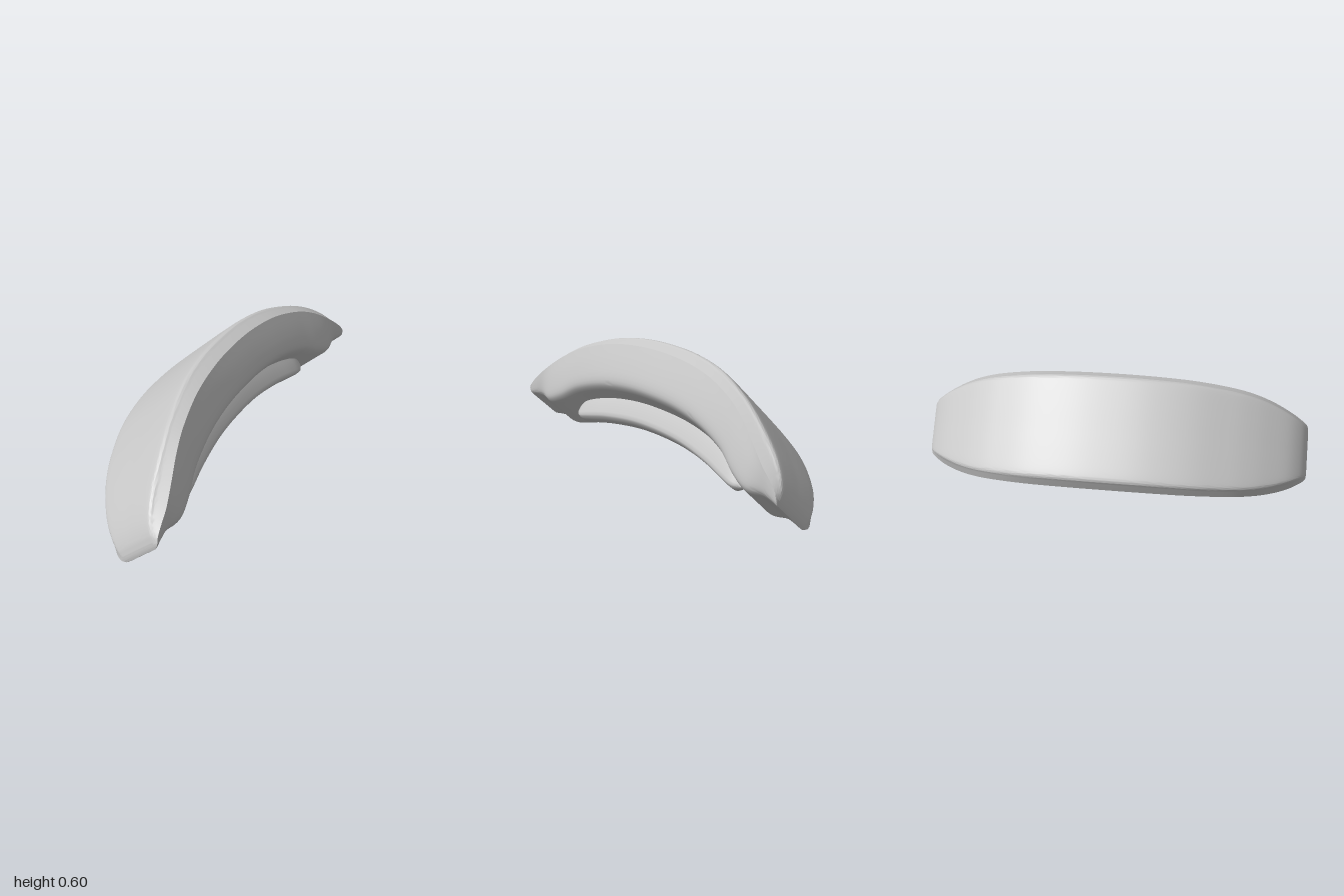
import * as THREE from 'three';
import { toCreasedNormals } from 'three/addons/utils/BufferGeometryUtils.js';

const V = (x, y) => new THREE.Vector2(x, y);
const lerp = THREE.MathUtils.lerp;

// Skin a list of rings { z, pts } (clockwise seen from +z) and close both ends.
function loft(rings) {
  const n = rings[0].pts.length;
  const pos = [];
  const index = [];
  rings.forEach(({ z, pts }) => pts.forEach((p) => pos.push(p.x, p.y, z)));
  for (let i = 0; i < rings.length - 1; i++) {
    for (let j = 0; j < n; j++) {
      const k = (j + 1) % n;
      const a = i * n + j, b = i * n + k, c = a + n, d = b + n;
      index.push(a, c, b, b, c, d);
    }
  }
  [0, rings.length - 1].forEach((r) => {
    const { z, pts } = rings[r];
    const centre = pos.length / 3;
    const mid = pts.reduce((s, p) => s.add(p), V(0, 0)).divideScalar(n);
    pos.push(mid.x, mid.y, z);
    for (let j = 0; j < n; j++) {
      const a = r * n + j, b = r * n + ((j + 1) % n);
      if (r === 0) index.push(centre, a, b);
      else index.push(centre, b, a);
    }
  });
  const geo = new THREE.BufferGeometry();
  geo.setAttribute('position', new THREE.Float32BufferAttribute(pos, 3));
  geo.setIndex(index);
  return toCreasedNormals(geo, 0.62);
}

// Mirror a half profile (top centre to bottom centre) into a closed loop.
function mirrorProfile(half, shift = 0) {
  const other = half.slice(1, -1).reverse().map((p) => V(-p.x, p.y));
  return [...half, ...other].map((p) => V(p.x + shift, p.y));
}

// Mirror stations [z, ...five values] about z = 0 and interpolate them smoothly.
function interpolate(stations, steps) {
  const all = [...stations.slice(1).reverse().map(([z, ...r]) => [-z, ...r]), ...stations];
  const curve = (k) => new THREE.CatmullRomCurve3(
    all.map((s) => new THREE.Vector3(s[k], s[k + 1], s[k + 2])), false, 'catmullrom');
  const one = curve(0), two = curve(3);
  return Array.from({ length: steps + 1 }, (_, i) =>
    [...one.getPoint(i / steps).toArray(), ...two.getPoint(i / steps).toArray()]);
}

// Pad: flat back, rounded bevel to the rim, sloping walls, flat underside.
function padRing([z, back, rim, under, h, shoulder]) {
  const ho = h - 0.023 * Math.min(1, h / 0.2);
  const s = h * shoulder;
  const mix = (t) => lerp(rim, under, t);
  const outer = new THREE.SplineCurve([
    V(0, back), V(ho * 0.45, back), V(ho * 0.86, lerp(back, rim, 0.03)),
    V(ho * 0.96, lerp(back, rim, 0.13)), V(ho, lerp(back, rim, 0.38)), V(h, rim),
  ]).getPoints(40);
  const inner = new THREE.SplineCurve([
    V(h, rim), V(lerp(h, s, 0.4), mix(0.46)), V(lerp(h, s, 0.85), mix(0.87)),
    V(s * 0.85, mix(0.99)), V(s * 0.45, under), V(0, under),
  ]).getPoints(20);
  return { z, pts: mirrorProfile([...outer, ...inner.slice(1)], (0.387 - back) * 0.04) };
}

// Rail: narrow tapering bar with softened edges, sunk into the underside.
function railRing([z, base, top, w]) {
  const half = [
    V(0, base), V(w * 1.85, base), V(w * 1.6, lerp(base, top, 0.35)),
    V(w * 1.2, lerp(base, top, 0.82)), V(w, lerp(base, top, 0.95)),
    V(w * 0.75, top), V(0, top - 0.002),
  ];
  return { z, pts: mirrorProfile(half) };
}

export function createModel() {
  const group = new THREE.Group();
  group.name = 'curvedPad';
  const grey = new THREE.MeshStandardMaterial({ color: 0xc8c8c8 });
  grey.name = 'grey';

  // z, back height, rim height, underside height, half width, shoulder share
  const padStations = [
    [0, 0.388, 0.312, 0.108, 0.29, 0.69],
    [0.2, 0.378, 0.302, 0.1, 0.289, 0.685],
    [0.4, 0.34, 0.268, 0.068, 0.285, 0.67],
    [0.58, 0.273, 0.207, 0.01, 0.274, 0.63],
    [0.7, 0.214, 0.145, -0.06, 0.259, 0.57],
    [0.8, 0.152, 0.075, -0.098, 0.236, 0.55],
    [0.89, 0.086, 0.006, -0.085, 0.204, 0.58],
    [0.95, 0.024, -0.035, -0.092, 0.173, 0.66],
    [0.985, -0.03, -0.063, -0.1, 0.15, 0.74],
    [0.998, -0.068, -0.084, -0.102, 0.134, 0.8],
    [1, -0.08, -0.088, -0.098, 0.12, 0.8],
  ];
  const pad = new THREE.Mesh(loft(interpolate(padStations, 120).map(padRing)), grey);
  pad.name = 'pad';

  // z, buried height, exposed height, half width, two spare zeros
  const railStations = [
    [0, 0.14, 0.008, 0.042],
    [0.2, 0.132, -0.001, 0.042],
    [0.4, 0.1, -0.033, 0.041],
    [0.54, 0.055, -0.068, 0.038],
    [0.62, 0.015, -0.084, 0.03],
    [0.67, -0.02, -0.068, 0.012],
  ].map((s) => [...s, 0, 0]);
  const rail = new THREE.Mesh(loft(interpolate(railStations, 60).map(railRing)), grey);
  rail.name = 'undersideRail';

  // Tilt the whole section by 45 degrees about the long axis.
  [pad, rail].forEach((mesh) => {
    mesh.rotation.z = Math.PI / 4;
    mesh.position.set(0.2 * Math.SQRT1_2, 0.2 * Math.SQRT1_2, 0);
    group.add(mesh);
  });
  return group;
}
